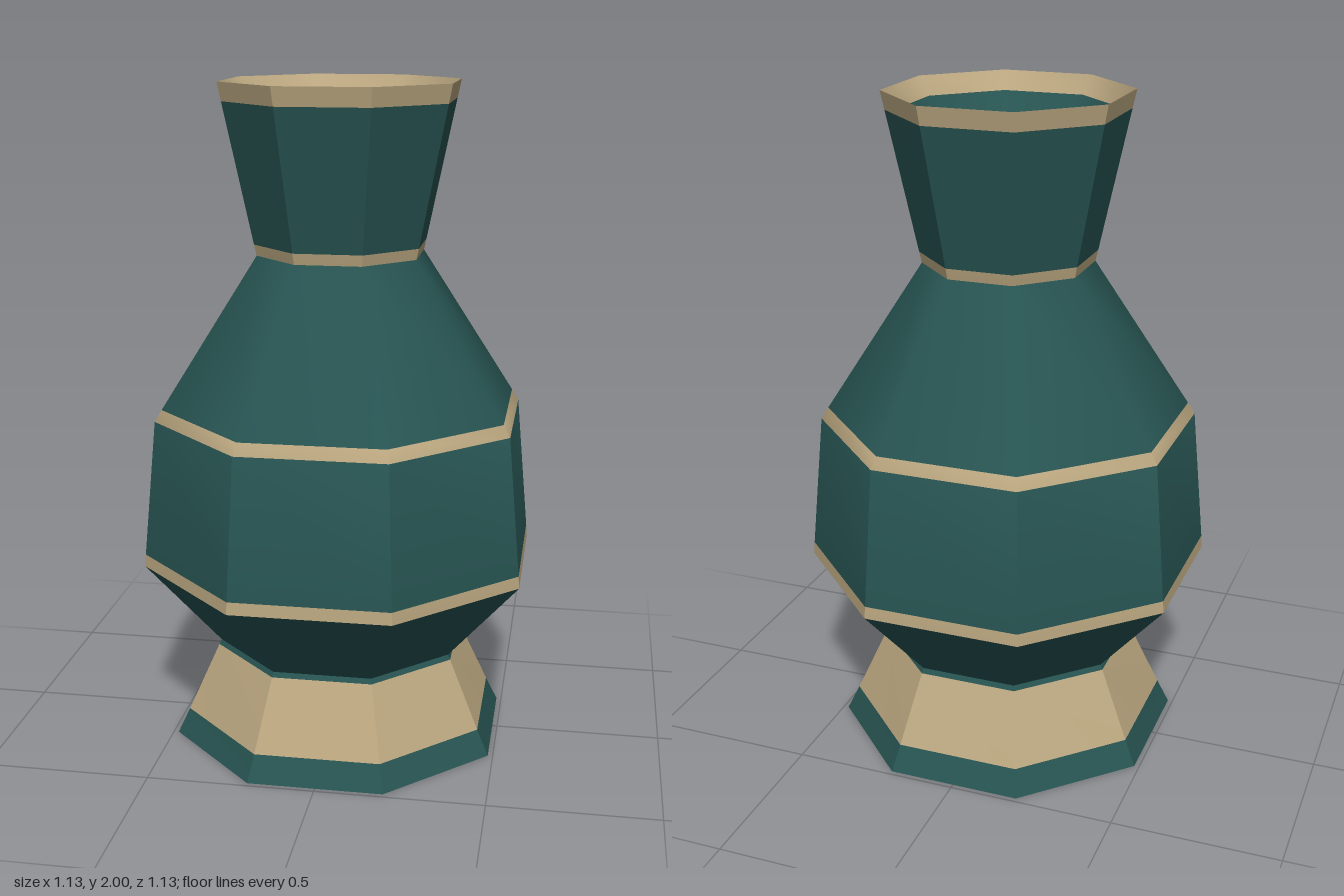
import * as THREE from 'three';
import { toCreasedNormals } from 'three/addons/utils/BufferGeometryUtils.js';

const SIDES = 8;
const CREASE = THREE.MathUtils.degToRad(40);

function makeMaterial(name, color) {
  const m = new THREE.MeshStandardMaterial({ color, side: THREE.DoubleSide });
  m.name = name;
  return m;
}

export function createModel() {
  const materials = [makeMaterial('teal glaze', 0x275452), makeMaterial('tan clay', 0xbba780)];
  const TEAL = 0, TAN = 1;

  // Octagonal shell; each row is [half width across flats, height, colour of the strip above it]
  function shell(name, rows) {
    const points = rows.map(([r, y]) => new THREE.Vector2(r / Math.cos(Math.PI / SIDES), y));
    const geo = new THREE.LatheGeometry(points, SIDES, Math.PI / SIDES);
    const strips = rows.length - 1;
    for (let i = 0; i < SIDES; i++) {
      for (let j = 0; j < strips; j++) geo.addGroup((i * strips + j) * 6, 6, rows[j][2]);
    }
    const mesh = new THREE.Mesh(toCreasedNormals(geo, CREASE), materials);
    mesh.name = name;
    return mesh;
  }

  const model = new THREE.Group();
  model.name = 'vase';

  // Flared foot, hollow and open underneath
  model.add(shell('foot', [
    [0.485, 0, TEAL], [0.45, 0.077, TAN], [0.36, 0.285, TEAL], [0.353, 0.3],
  ]));

  // Belly and shoulder with two painted bands
  model.add(shell('body', [
    [0.353, 0.3, TEAL], [0.565, 0.563, TAN], [0.562, 0.6, TEAL],
    [0.525, 1.015, TAN], [0.505, 1.05, TEAL], [0.235, 1.5],
  ]));

  // Neck wall, then the funnel running down inside it to a point
  model.add(shell('neck', [
    [0.235, 1.5, TAN], [0.242, 1.533, TEAL], [0.324, 1.945, TAN], [0.335, 2, TAN],
    [0.298, 1.945, TEAL], [0.022, 1.533, TAN], [0, 1.5],
  ]));

  return model;
}
